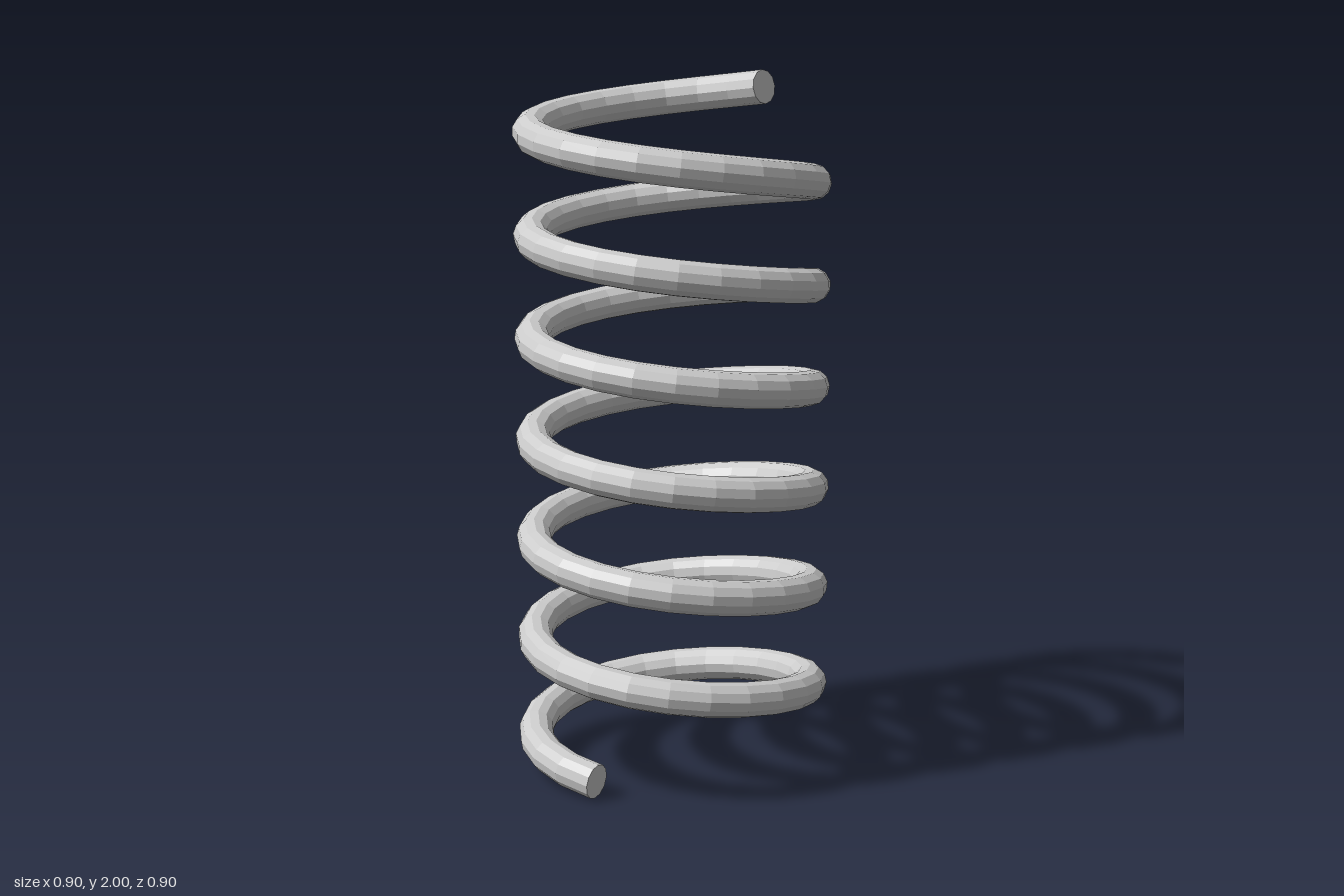
import * as THREE from 'three';

const COIL_RADIUS = 0.4;
const WIRE_RADIUS = 0.05;
const TURNS = 6.527;
const SIDES = 12;
const STEPS = Math.round(TURNS * 24);

// Centre line of the wire, climbing from the front round the right side
class Helix extends THREE.Curve {
  getPoint(t, target = new THREE.Vector3()) {
    const a = t * TURNS * Math.PI * 2;
    return target.set(
      -COIL_RADIUS * Math.sin(a),
      THREE.MathUtils.lerp(WIRE_RADIUS, 2 - WIRE_RADIUS, t),
      COIL_RADIUS * Math.cos(a)
    );
  }
}

export function createModel() {
  const group = new THREE.Group();
  group.name = 'coilSpring';
  const material = new THREE.MeshStandardMaterial({ color: 0xcccccc, flatShading: true });

  // Coiled wire
  const path = new Helix();
  path.arcLengthDivisions = 1000;
  const tube = new THREE.TubeGeometry(path, STEPS, WIRE_RADIUS, SIDES, false);
  const wire = new THREE.Mesh(tube, material);
  wire.name = 'coil';
  group.add(wire);

  // Flat cut ends, lined up with the first and last rings of the wire
  const addCap = (name, index, sign) => {
    const n = tube.normals[index].clone().negate();
    const b = tube.binormals[index].clone().multiplyScalar(-sign);
    const t = tube.tangents[index].clone().multiplyScalar(sign);
    const cap = new THREE.Mesh(new THREE.CircleGeometry(WIRE_RADIUS, SIDES), material);
    cap.name = name;
    cap.quaternion.setFromRotationMatrix(new THREE.Matrix4().makeBasis(n, b, t));
    cap.position.copy(path.getPointAt(index / STEPS));
    group.add(cap);
  };
  addCap('lowerEnd', 0, -1);
  addCap('upperEnd', STEPS, 1);

  return group;
}
